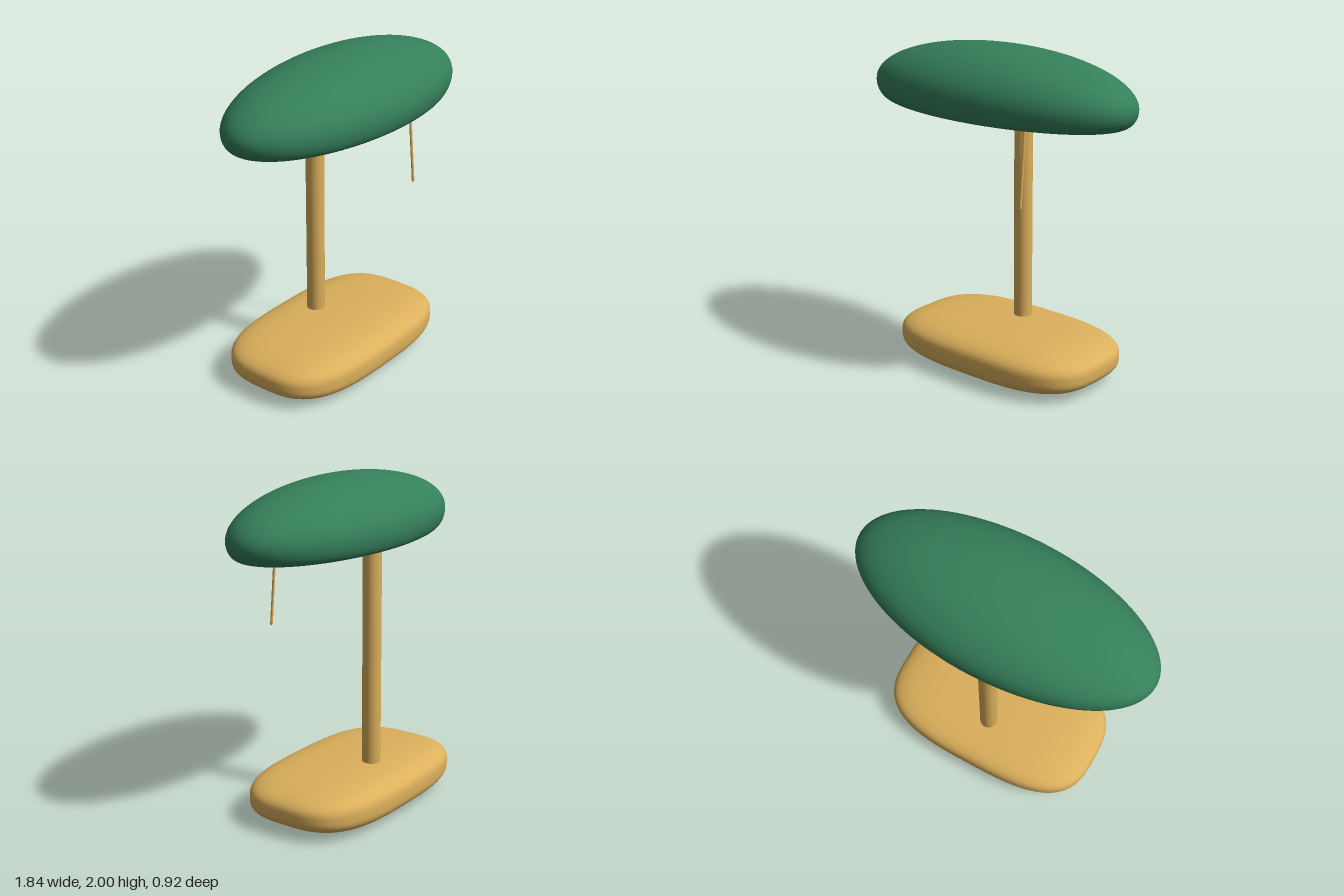
import * as THREE from 'three';
import { mergeVertices } from 'three/addons/utils/BufferGeometryUtils.js';

const gold = new THREE.MeshStandardMaterial({ color: 0xdcb05c });
const green = new THREE.MeshStandardMaterial({ color: 0x35805a });
const cream = new THREE.MeshStandardMaterial({ color: 0xecd9b0 });

function part(name, geometry, material, x, y, z) {
  const mesh = new THREE.Mesh(geometry, material);
  mesh.name = name;
  mesh.position.set(x, y, z);
  return mesh;
}

// Pillow: a subdivided cube pushed onto a superellipsoid
function pillow(hx, hy, hz, power) {
  let geo = new THREE.BoxGeometry(2, 2, 2, 28, 28, 28);
  geo.deleteAttribute('uv');
  geo.deleteAttribute('normal');
  geo = mergeVertices(geo);
  const pos = geo.attributes.position;
  const v = new THREE.Vector3();
  for (let i = 0; i < pos.count; i++) {
    v.fromBufferAttribute(pos, i);
    const sum = v.toArray().reduce((s, c) => s + Math.abs(c) ** power, 0);
    v.multiplyScalar(sum ** (-1 / power));
    pos.setXYZ(i, v.x * hx, v.y * hy, v.z * hz);
  }
  geo.computeVertexNormals();
  return geo;
}

// Shade profile: flat underside, tight lower rim, elliptical dome
function shadeGeometry() {
  const points = [new THREE.Vector2(0, -0.105), new THREE.Vector2(0.5, -0.105), new THREE.Vector2(0.86, -0.105)];
  for (let i = 0; i <= 10; i++) {
    const a = (i / 10) * Math.PI / 2;
    points.push(new THREE.Vector2(0.89 + 0.11 * Math.sin(a), -0.105 * Math.cos(a)));
  }
  for (let i = 1; i <= 24; i++) {
    const a = (i / 24) * Math.PI / 2;
    points.push(new THREE.Vector2(i === 24 ? 0 : Math.cos(a), 0.28 * Math.sin(a)));
  }
  return new THREE.LatheGeometry(points, 96).scale(0.92, 1, 0.423);
}

// Pole profile with softly rounded ends
function poleGeometry(radius, bottom, top, bevel) {
  const points = [new THREE.Vector2(0, bottom), new THREE.Vector2(radius, bottom)];
  for (let i = 0; i <= 6; i++) {
    const a = (i / 6) * Math.PI / 2;
    points.push(new THREE.Vector2(radius - bevel + bevel * Math.cos(a), top - bevel + bevel * Math.sin(a)));
  }
  points.push(new THREE.Vector2(0, top));
  return new THREE.LatheGeometry(points, 40);
}

export function createModel() {
  const lamp = new THREE.Group();
  lamp.name = 'tableLamp';

  lamp.add(part('base', pillow(0.706, 0.139, 0.425, 3.1), gold, 0, 0.143, -0.035));
  lamp.add(part('pole', poleGeometry(0.056, 0.2, 1.618, 0.02), gold, 0, 0, -0.177));
  lamp.add(part('shade', shadeGeometry(), green, 0, 1.72, 0.036));

  // Shallow diffuser bulging below the shade
  const diffuser = new THREE.SphereGeometry(1, 64, 24).scale(0.65, 0.045, 0.22);
  lamp.add(part('diffuser', diffuser, cream, 0, 1.62, 0.036));

  // Slightly slanted pull cord
  const top = new THREE.Vector3(0.357, 1.585, 0.253);
  const end = new THREE.Vector3(0.357, 1.142, 0.289);
  const dir = end.clone().sub(top);
  const cord = part('pullCord', new THREE.CapsuleGeometry(0.008, dir.length() - 0.008, 4, 12), gold, 0, 0, 0);
  cord.position.copy(top).add(end).multiplyScalar(0.5);
  cord.quaternion.setFromUnitVectors(new THREE.Vector3(0, -1, 0), dir.normalize());
  lamp.add(cord);

  return lamp;
}
